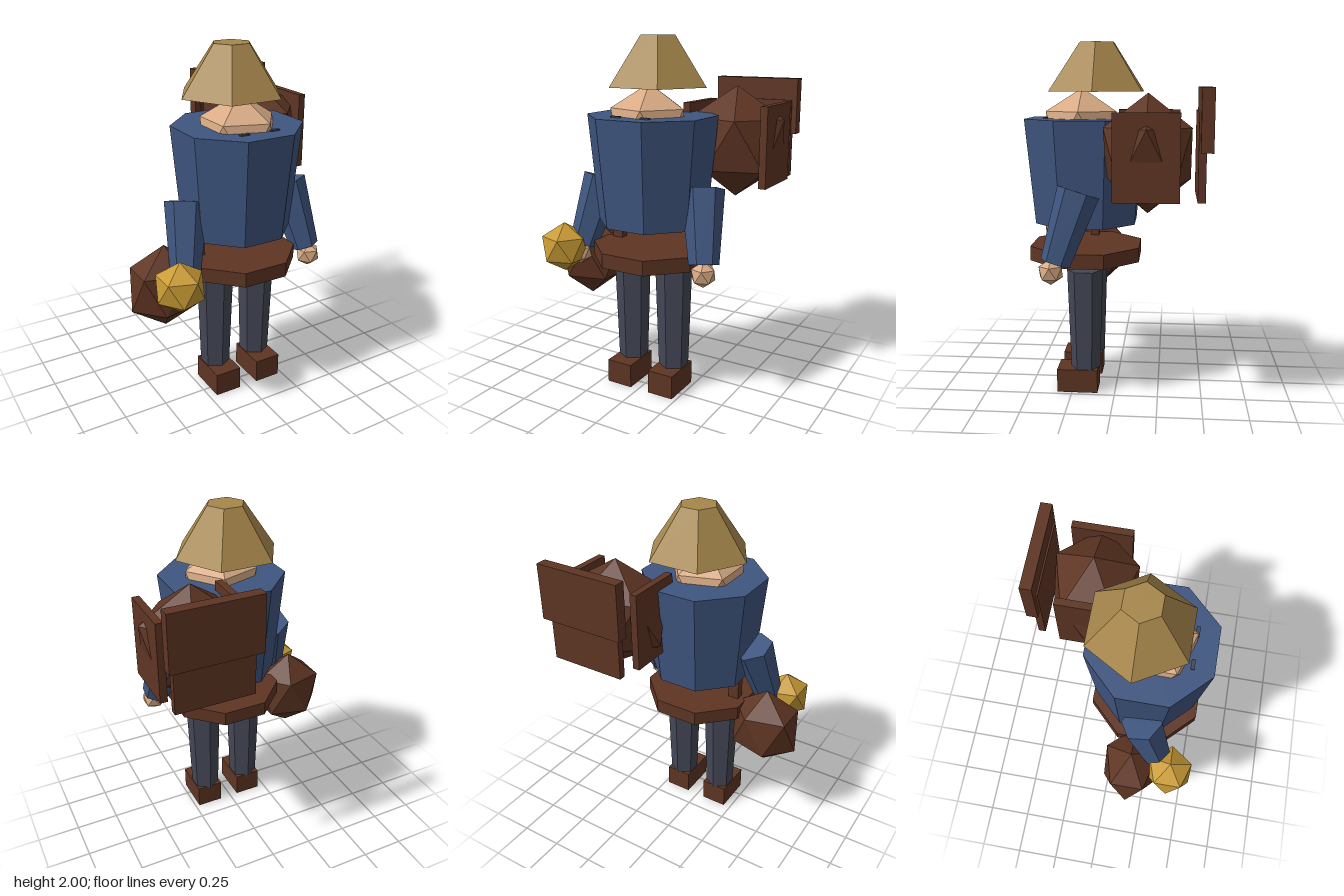
import * as THREE from 'three';

const mat = (name, color) => {
  const m = new THREE.MeshStandardMaterial({ color, flatShading: true });
  m.name = name;
  return m;
};

export function createModel() {
  const blue = mat('blue cloth', 0x3f5680);
  const slate = mat('slate cloth', 0x444856);
  const brown = mat('brown leather', 0x5e3523);
  const skin = mat('skin', 0xd8ab85);
  const straw = mat('straw', 0xa6864b);
  const gold = mat('gold', 0xc89a34);

  const model = new THREE.Group();
  model.name = 'hiker';
  const CX = 0.01, CZ = 0.176; // body axis

  const add = (name, geometry, material, x, y, z) => {
    const mesh = new THREE.Mesh(geometry, material);
    mesh.name = name;
    mesh.position.set(x, y, z);
    model.add(mesh);
    return mesh;
  };
  const box = (name, material, w, h, d, x, y, z) =>
    add(name, new THREE.BoxGeometry(w, h, d), material, x, y, z);
  // Icosahedron standing on a point, with one upper-ring corner towards +x
  const gem = (name, material, r, x, y, z, sy = 1, sz = 1) =>
    add(name, new THREE.IcosahedronGeometry(r, 0)
      .rotateZ(-Math.atan(2 / (1 + Math.sqrt(5)))).scale(1, sy, sz), material, x, y, z);
  // Faceted frustum between two heights
  const frustum = (name, material, rTop, rBottom, y0, y1, sides, turn, x, z) =>
    add(name, new THREE.CylinderGeometry(rTop, rBottom, y1 - y0, sides).rotateY(turn),
      material, x, (y0 + y1) / 2, z);

  // Torso, belt, head and hat
  frustum('torso', blue, 0.362, 0.306, 0.985, 1.58, 8, Math.PI / 8, CX, CZ);
  frustum('belt', brown, 0.339, 0.339, 0.769, 0.852, 8, Math.PI / 8, CX, CZ + 0.004);
  gem('head', skin, 0.235, 0.007, 1.515, 0.2);
  frustum('hat', straw, 0.107, 0.298, 1.73, 2, 6, Math.PI / 6, CX, 0.112);

  // Paired parts
  for (const [side, s] of [['left', 1], ['right', -1]]) {
    box(side + 'Eye', slate, 0.055, 0.055, 0.02, CX + s * 0.091, 1.56, 0.396);

    // Arm sloping forwards and outwards to the hand
    const shoulder = new THREE.Vector3(CX + s * 0.322, 1.2, 0.186);
    const wrist = new THREE.Vector3(CX + s * 0.393, 0.822, 0.305);
    const axis = shoulder.clone().sub(wrist);
    const mid = shoulder.clone().add(wrist).multiplyScalar(0.5);
    const arm = add(side + 'Arm', new THREE.CylinderGeometry(0.118, 0.082, axis.length(), 6),
      blue, mid.x, mid.y, mid.z);
    arm.quaternion.setFromUnitVectors(new THREE.Vector3(0, 1, 0), axis.normalize());
    gem(side + 'Hand', skin, 0.073, CX + s * 0.402, 0.777, 0.328);

    frustum(side + 'Leg', slate, 0.104, 0.085, 0.13, 0.725, 6, 0, CX + s * 0.1375, CZ);
    box(side + 'Shoe', brown, 0.157, 0.137, 0.235, CX + s * 0.1375, 0.0685, 0.218);
  }

  // Held nugget and hip pouch with its strap
  gem('nugget', gold, 0.145, -0.457, 0.812, 0.385);
  gem('pouch', brown, 0.225, -0.438, 0.71, 0.155, 1.1, 0.8);
  box('pouchStrap', brown, 0.064, 0.31, 0.05, -0.228, 0.845, 0.155);

  // Backpack with side boards and back boards
  const PX = 0.35;
  gem('backpack', brown, 0.316, PX, 1.41, -0.188, 1, 0.85);
  for (const s of [1, -1])
    box('packSideBoard', brown, 0.041, 0.445, 0.337, PX + s * 0.232, 1.411, -0.187);
  box('packBackBoard', brown, 0.445, 0.445, 0.04, PX + 0.002, 1.411, -0.464);
  box('packFlap', brown, 0.508, 0.318, 0.064, PX, 1.597, -0.486);

  return model;
}
